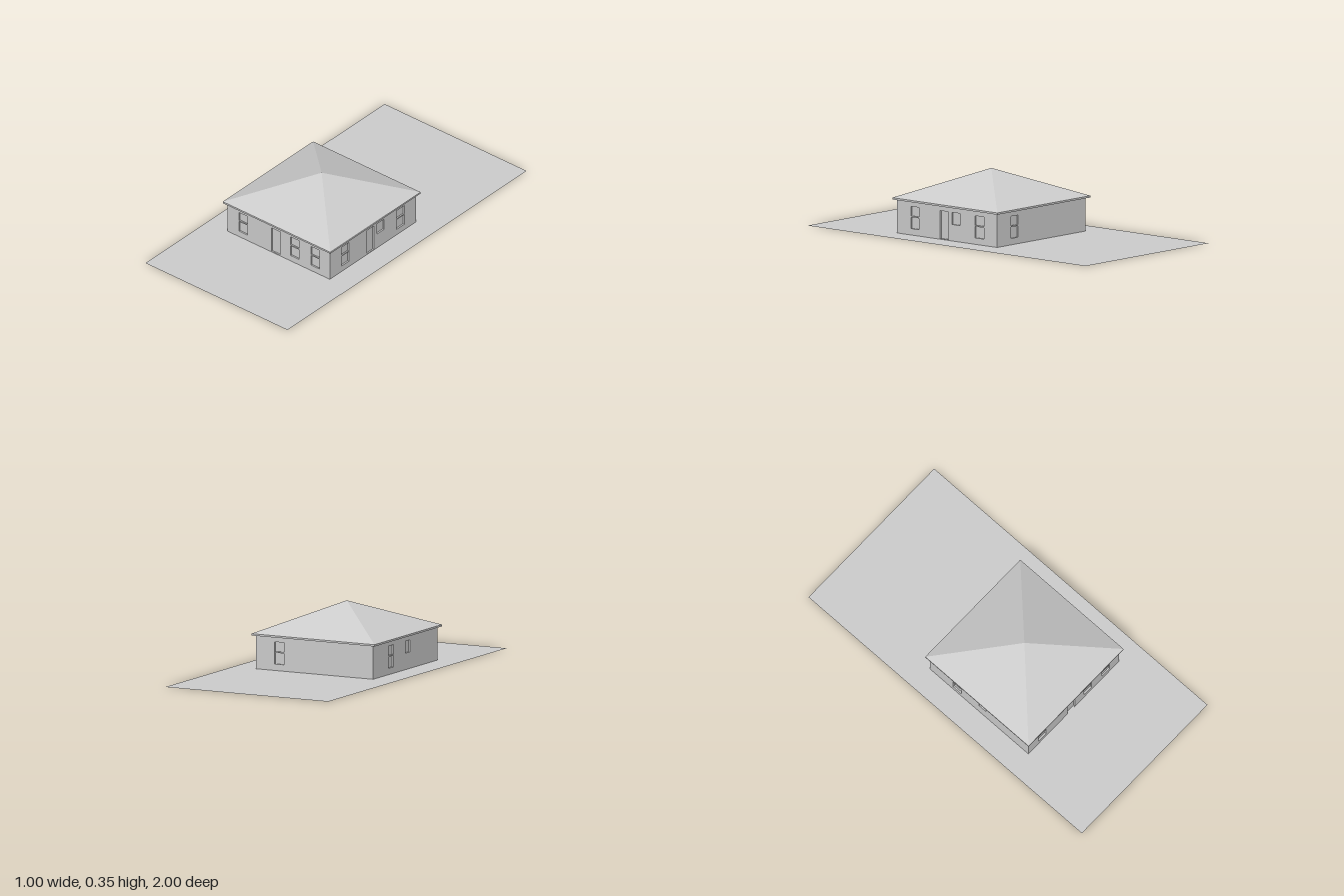
import * as THREE from 'three';

export function createModel() {
  const model = new THREE.Group();
  const grey = new THREE.MeshStandardMaterial({ color: 0xcccccc, side: THREE.DoubleSide });
  grey.name = 'plain grey';

  const add = (parent, name, geometry, x = 0, y = 0, z = 0) => {
    const mesh = new THREE.Mesh(geometry, grey);
    mesh.name = name;
    mesh.position.set(x, y, z);
    parent.add(mesh);
    return mesh;
  };

  // Flat plot of land
  add(model, 'ground', new THREE.PlaneGeometry(1, 2).rotateX(-Math.PI / 2));

  const house = new THREE.Group();
  house.name = 'house';
  house.position.z = 0.12;
  model.add(house);

  const HALF = 0.36, HEIGHT = 0.185, DEPTH = 0.012, TOP = 0.156;
  const SILL = { door: 0.004, window: 0.035, smallWindow: 0.09 };

  // Wall with real openings; each opening is [kind, left, right, topGap, sideGap]
  const addWall = (name, angle, inset, openings) => {
    const wall = new THREE.Group();
    wall.name = name;
    wall.rotation.y = angle;
    house.add(wall);

    const w = HALF - inset;
    const shape = new THREE.Shape();
    shape.moveTo(-w, 0).lineTo(w, 0).lineTo(w, HEIGHT).lineTo(-w, HEIGHT).closePath();
    for (const [kind, a, b] of openings) {
      const s = SILL[kind];
      const hole = new THREE.Path();
      hole.moveTo(a, s).lineTo(a, TOP).lineTo(b, TOP).lineTo(b, s).closePath();
      shape.holes.push(hole);
    }
    const geometry = new THREE.ExtrudeGeometry(shape, { depth: DEPTH, bevelEnabled: false });
    add(wall, name + 'Panel', geometry, 0, 0, HALF - DEPTH);

    // Recessed leaf or pane, with a crossbar in the windows
    for (const [kind, a, b, topGap = 0, sideGap = 0] of openings) {
      const s = SILL[kind];
      const left = a + sideGap, top = TOP - topGap;
      add(wall, kind, new THREE.BoxGeometry(b - left, top - s, 0.004),
        (left + b) / 2, (s + top) / 2, HALF - DEPTH + 0.001);
      if (kind === 'window') {
        add(wall, 'windowCrossbar', new THREE.BoxGeometry(b - a, 0.007, 0.008),
          (a + b) / 2, 0.1, HALF - 0.005);
      }
    }
  };

  addWall('frontWall', 0, 0, [
    ['window', -0.28, -0.22],
    ['door', -0.05, 0.01, 0.004],
    ['window', 0.083, 0.143],
    ['window', 0.227, 0.287],
  ]);
  addWall('leftWall', Math.PI / 2, DEPTH, [
    ['window', -0.26, -0.2],
    ['door', -0.05, 0.01, 0, 0.004],
    ['smallWindow', 0.035, 0.095],
    ['window', 0.2, 0.265],
  ]);
  addWall('backWall', Math.PI, 0, [['window', -0.245, -0.188]]);
  addWall('rightWall', -Math.PI / 2, DEPTH, [
    ['window', -0.19, -0.13],
    ['smallWindow', 0.0, 0.05],
  ]);

  // Overhanging eaves and pyramid roof
  add(house, 'eaves', new THREE.BoxGeometry(0.756, 0.01, 0.756), 0, 0.188, 0);
  const roof = new THREE.ConeGeometry(0.378 * Math.SQRT2, 0.157, 4, 1, true).toNonIndexed();
  roof.computeVertexNormals();
  roof.rotateY(Math.PI / 4);
  add(house, 'roof', roof, 0, 0.193 + 0.157 / 2, 0);

  return model;
}
